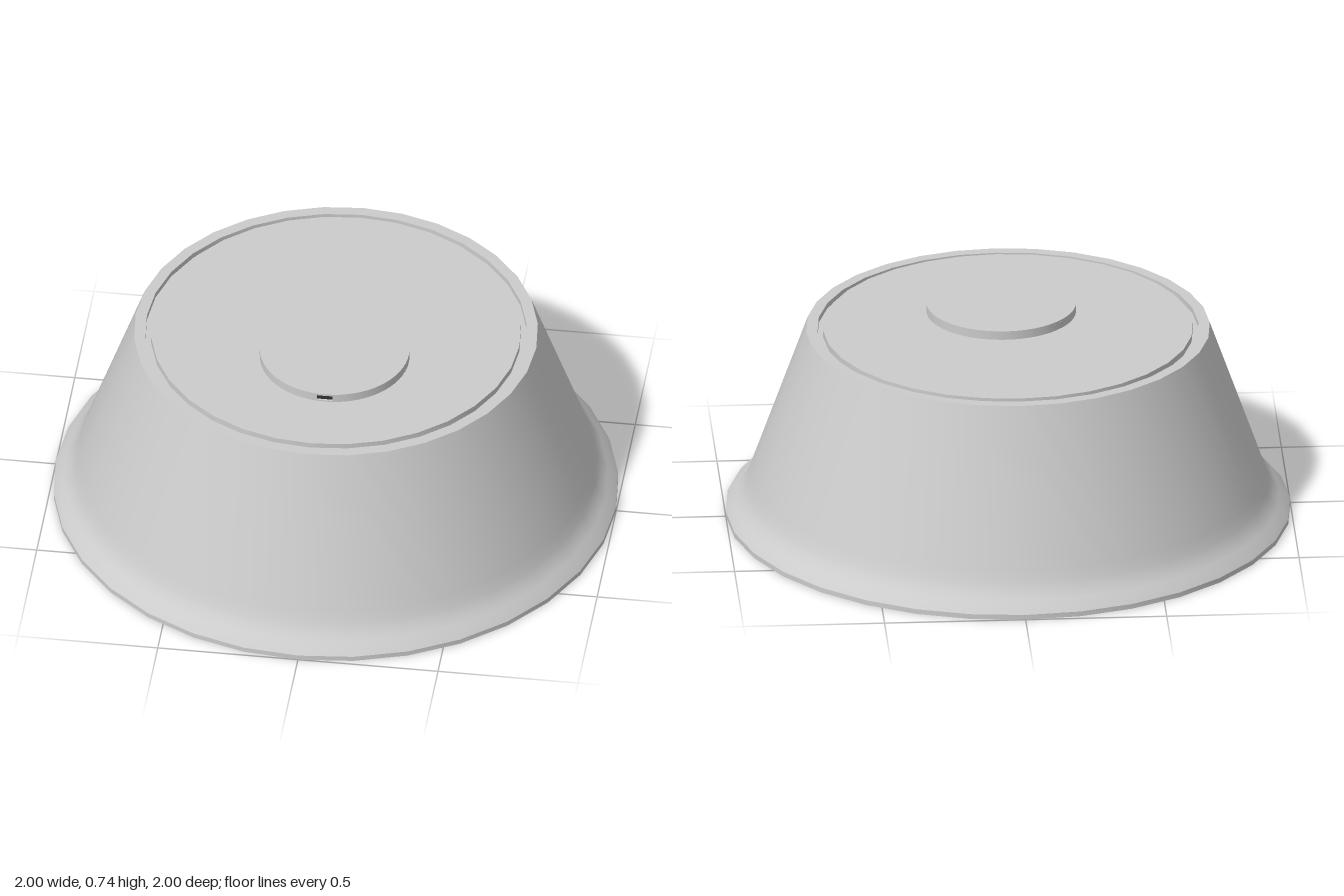
import * as THREE from 'three';
import { toCreasedNormals } from 'three/addons/utils/BufferGeometryUtils.js';

export function createModel() {
  const model = new THREE.Group();
  const grey = new THREE.MeshStandardMaterial({ color: 0xcccccc });
  const dark = new THREE.MeshStandardMaterial({ color: 0x333333 });

  const add = (name, geometry, material = grey, parent = model) => {
    const mesh = new THREE.Mesh(geometry, material);
    mesh.name = name;
    parent.add(mesh);
    return mesh;
  };
  const lathe = (points, sides) => toCreasedNormals(
    new THREE.LatheGeometry(points.map(([r, y]) => new THREE.Vector2(r, y)), sides), 0.6);

  // Tapered body with a flared foot, flat rim and a narrow groove around the top panel
  add('body', lathe([
    [0, 0], [1, 0], [1, 0.018], [0.985, 0.036], [0.963, 0.056], [0.942, 0.078],
    [0.925, 0.11], [0.91, 0.15], [0.715, 0.7], [0.675, 0.7], [0.675, 0.68],
    [0.655, 0.68], [0.655, 0.703], [0, 0.703],
  ], 32), grey);

  // Round button, set towards the front, with a small slot in its front edge
  const button = new THREE.Group();
  button.name = 'button';
  button.position.set(0.015, 0, 0.145);
  model.add(button);

  const radius = 0.265, slotHalf = 0.028, slotDepth = 0.02;
  const disc = (name, bottom, top) => {
    const geometry = new THREE.CylinderGeometry(radius, radius, top - bottom, 64);
    add(name, geometry, grey, button).position.y = (bottom + top) / 2;
  };
  disc('buttonBase', 0.7, 0.708);
  disc('buttonCap', 0.728, 0.735);

  const a = Math.asin(slotHalf / radius);
  const slotted = new THREE.Shape();
  slotted.absarc(0, 0, radius, -Math.PI / 2 + a, 1.5 * Math.PI - a, false);
  slotted.lineTo(-slotHalf, -radius + slotDepth);
  slotted.lineTo(slotHalf, -radius + slotDepth);
  slotted.closePath();
  const middle = new THREE.ExtrudeGeometry(slotted, { depth: 0.02, bevelEnabled: false, curveSegments: 32 });
  middle.rotateX(-Math.PI / 2);
  add('buttonMiddle', toCreasedNormals(middle, 0.6), grey, button).position.y = 0.708;

  // Dark insert at the back of the slot
  add('slotInsert', new THREE.BoxGeometry(slotHalf * 2, 0.02, 0.012), dark, button)
    .position.set(0, 0.718, radius - slotDepth + 0.006);

  return model;
}
